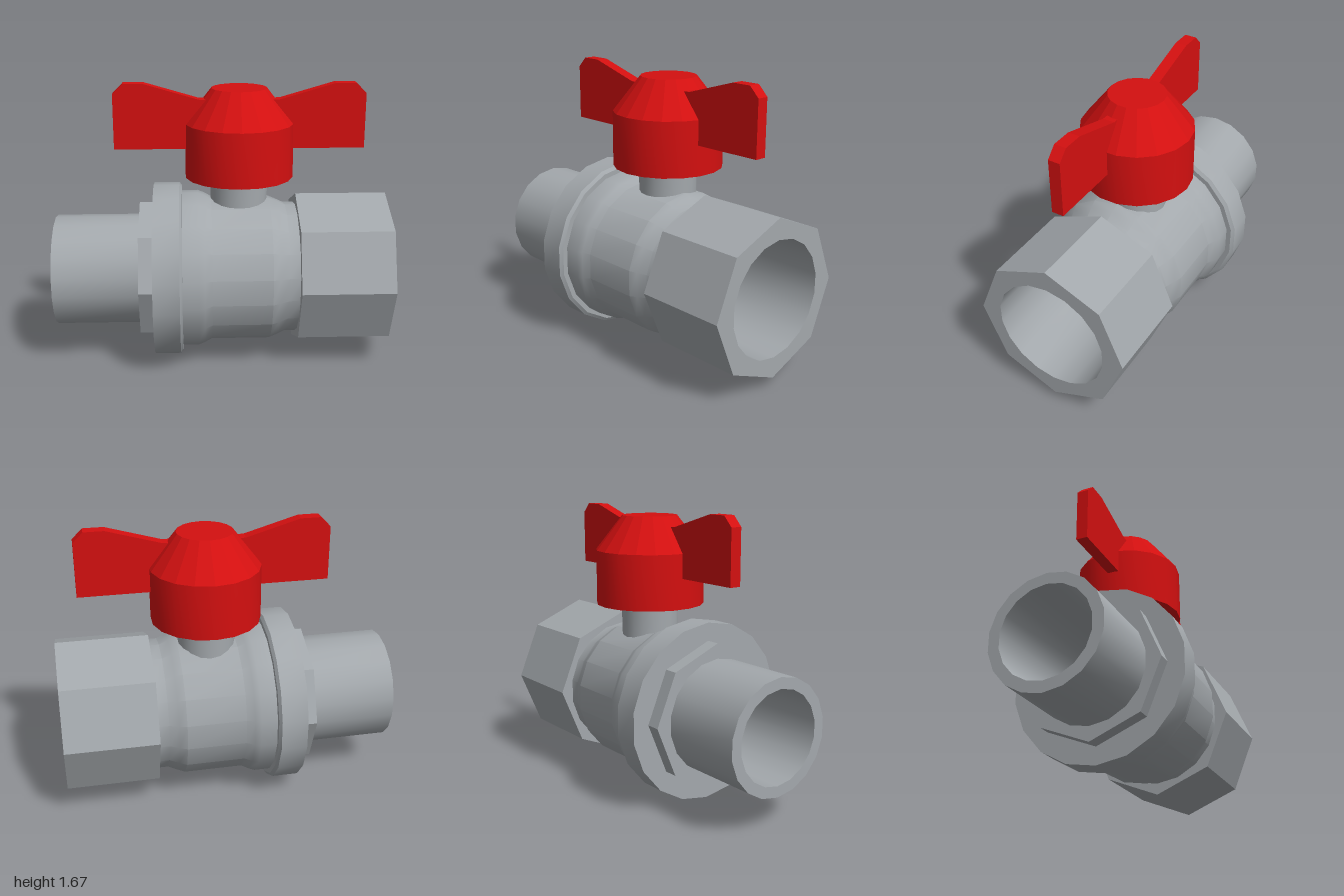
import * as THREE from 'three';
import { toCreasedNormals } from 'three/addons/utils/BufferGeometryUtils.js';

const SIDES = 18, AXIS_Y = 0.53, KNOB_X = 0.11, KNOB_Z = -0.035;

export function createModel() {
  const group = new THREE.Group();
  const steel = new THREE.MeshStandardMaterial({ color: 0xa3a8ac });
  steel.name = 'steel grey';
  const red = new THREE.MeshStandardMaterial({ color: 0xd41010 });
  red.name = 'handle red';

  const add = (name, geometry, material, x, y, z, crease = 0.5) => {
    const mesh = new THREE.Mesh(toCreasedNormals(geometry, crease), material);
    mesh.name = name;
    mesh.position.set(x, y, z);
    group.add(mesh);
  };
  const points = (list) => list.map(([a, b]) => new THREE.Vector2(a, b));
  const ring = (r, n) => Array.from({ length: n }, (_, i) => {
    const a = Math.PI / 2 + (i / n) * Math.PI * 2;
    return new THREE.Vector2(r * Math.cos(a), r * Math.sin(a));
  });

  // Hollow body with tail pipe, flange, swollen chamber and neck: [radius, x]
  const profile = points([
    [0.27, -1], [0.335, -1], [0.335, -0.45], [0.53, -0.405], [0.53, -0.25],
    [0.51, -0.235], [0.48, -0.235], [0.48, -0.14], [0.467, -0.105], [0.443, -0.06],
    [0.443, 0.29], [0.425, 0.335], [0.4, 0.39], [0.4, 0.46], [0.27, 0.46], [0.27, -1],
  ]);
  profile[2].y = -0.405; // square flange shoulder
  const body = new THREE.LatheGeometry(profile, SIDES, Math.PI / 2);
  body.rotateZ(-Math.PI / 2);
  add('valveBody', body, steel, 0, AXIS_Y, 0);

  // Octagonal wrench fittings with a round bore
  const octagon = (name, radius, bore, x0, x1) => {
    const shape = new THREE.Shape(ring(radius, 8));
    shape.holes.push(new THREE.Path(ring(bore, SIDES)));
    const geo = new THREE.ExtrudeGeometry(shape, { depth: x1 - x0, bevelEnabled: false });
    geo.rotateY(Math.PI / 2);
    add(name, geo, steel, x0, AXIS_Y, 0);
  };
  octagon('socketEnd', 0.47, 0.345, 0.452, 1);
  octagon('unionNut', 0.424, 0.32, -0.49, -0.4);

  // Stem between body and handle
  const stem = new THREE.CylinderGeometry(0.172, 0.172, 0.32, SIDES);
  add('stem', stem, steel, KNOB_X, 0.96, KNOB_Z);

  // Handle cap: smooth skirt below, faceted cone above
  const skirt = new THREE.LatheGeometry(points([[0, 1.11], [0.325, 1.11], [0.325, 1.435]]), SIDES);
  add('handleSkirt', skirt, red, KNOB_X, 0, KNOB_Z);
  const cone = new THREE.LatheGeometry(points([[0.325, 1.435], [0.165, 1.64], [0, 1.64]]), SIDES);
  add('handleCone', cone, red, KNOB_X, 0, KNOB_Z, 0.01);

  // Butterfly wings, mirrored about the stem
  const wing = [[0.05, 1.29], [0.74, 1.29], [0.74, 1.615], [0.68, 1.675], [0.56, 1.675], [0.24, 1.582], [0.05, 1.575]];
  for (const side of [1, -1]) {
    const shape = new THREE.Shape(points(wing.map(([x, y]) => [x * side, y])));
    const geo = new THREE.ExtrudeGeometry(shape, { depth: 0.07, bevelEnabled: false });
    add(side > 0 ? 'leftWing' : 'rightWing', geo, red, KNOB_X, 0, -0.035, 0.2);
  }
  return group;
}
